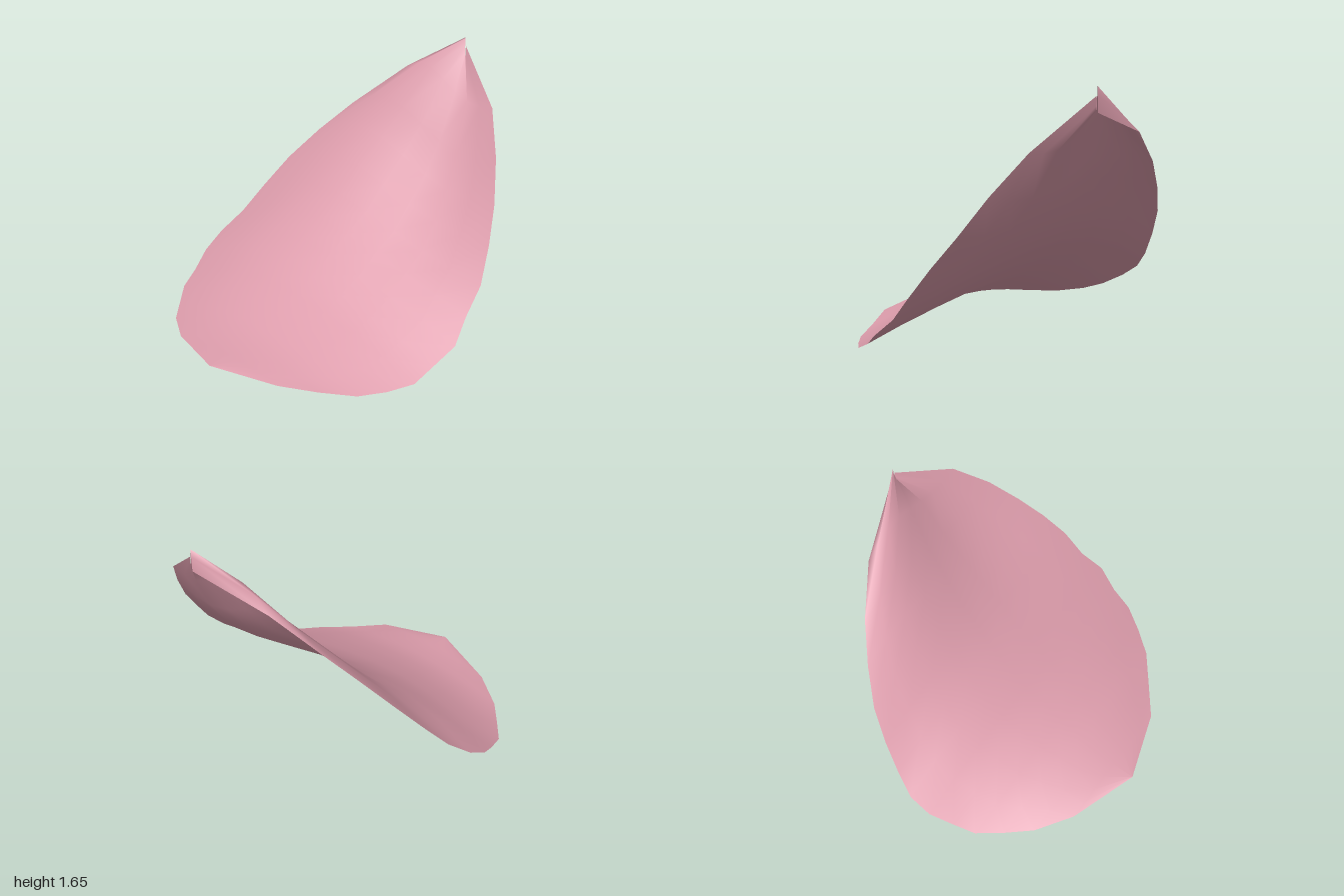
import * as THREE from 'three';

// Cross-sections from the front point to the rear tip:
// [z, left-hand x, left-hand y, middle y, right-hand x, right-hand y, ripple]
const SECTIONS = [
  [0.99, 0, 0.07, 0.07, 0, 0.07, 0],
  [0.845, -0.43, 0.045, 0.085, 0.41, 0.045, 0],
  [0.70, -0.65, 0.03, 0.10, 0.59, 0.015, 0],
  [0.56, -0.78, 0.035, 0.14, 0.76, 0, 0.005],
  [0.42, -0.90, 0.065, 0.20, 0.86, 0.01, 0.01],
  [0.28, -0.95, 0.12, 0.265, 0.94, 0.035, 0.02],
  [0.14, -1, 0.20, 0.34, 0.96, 0.10, 0.03],
  [0, -1, 0.29, 0.44, 1, 0.19, 0.04],
  [-0.14, -0.94, 0.41, 0.54, 0.96, 0.31, 0.05],
  [-0.28, -0.87, 0.58, 0.656, 0.95, 0.46, 0.065],
  [-0.42, -0.78, 0.76, 0.80, 0.89, 0.65, 0.08],
  [-0.56, -0.64, 0.95, 0.96, 0.81, 0.84, 0.09],
  [-0.70, -0.47, 1.14, 1.145, 0.70, 1.07, 0.09],
  [-0.845, -0.23, 1.35, 1.41, 0.545, 1.31, 0.075],
  [-0.99, 0.2, 1.51, 1.60, 0.21, 1.60, 0.085],
];
const COLS = 8;

export function createModel() {
  const group = new THREE.Group();
  group.name = 'petalModel';
  const petalPink = new THREE.MeshStandardMaterial({ color: 0xdd9dac, side: THREE.DoubleSide });
  petalPink.name = 'petalPink';

  // Each section is a shallow arch with a ripple that grows into a pinched fold at the tip
  const positions = [];
  const index = [];
  SECTIONS.forEach(([z, xl, yl, ym, xr, yr, ripple], r) => {
    const bulge = ym - (yl + yr) / 2;
    for (let c = 0; c <= COLS; c++) {
      const s = c / COLS;
      const t = 2 * s - 1;
      const y = yl + (yr - yl) * s + bulge * (1 - t * t) - ripple * Math.sin(Math.PI * t);
      positions.push(xl + (xr - xl) * s, y, z);
      if (r > 0 && c < COLS) {
        const b = r * (COLS + 1) + c;
        const a = b - COLS - 1;
        if (r > 1) index.push(a, a + 1, b + 1);
        index.push(a, b + 1, b);
      }
    }
  });

  const geometry = new THREE.BufferGeometry();
  geometry.setAttribute('position', new THREE.Float32BufferAttribute(positions, 3));
  geometry.setIndex(index);
  geometry.computeVertexNormals();

  const petal = new THREE.Mesh(geometry, petalPink);
  petal.name = 'petal';
  group.add(petal);
  return group;
}
